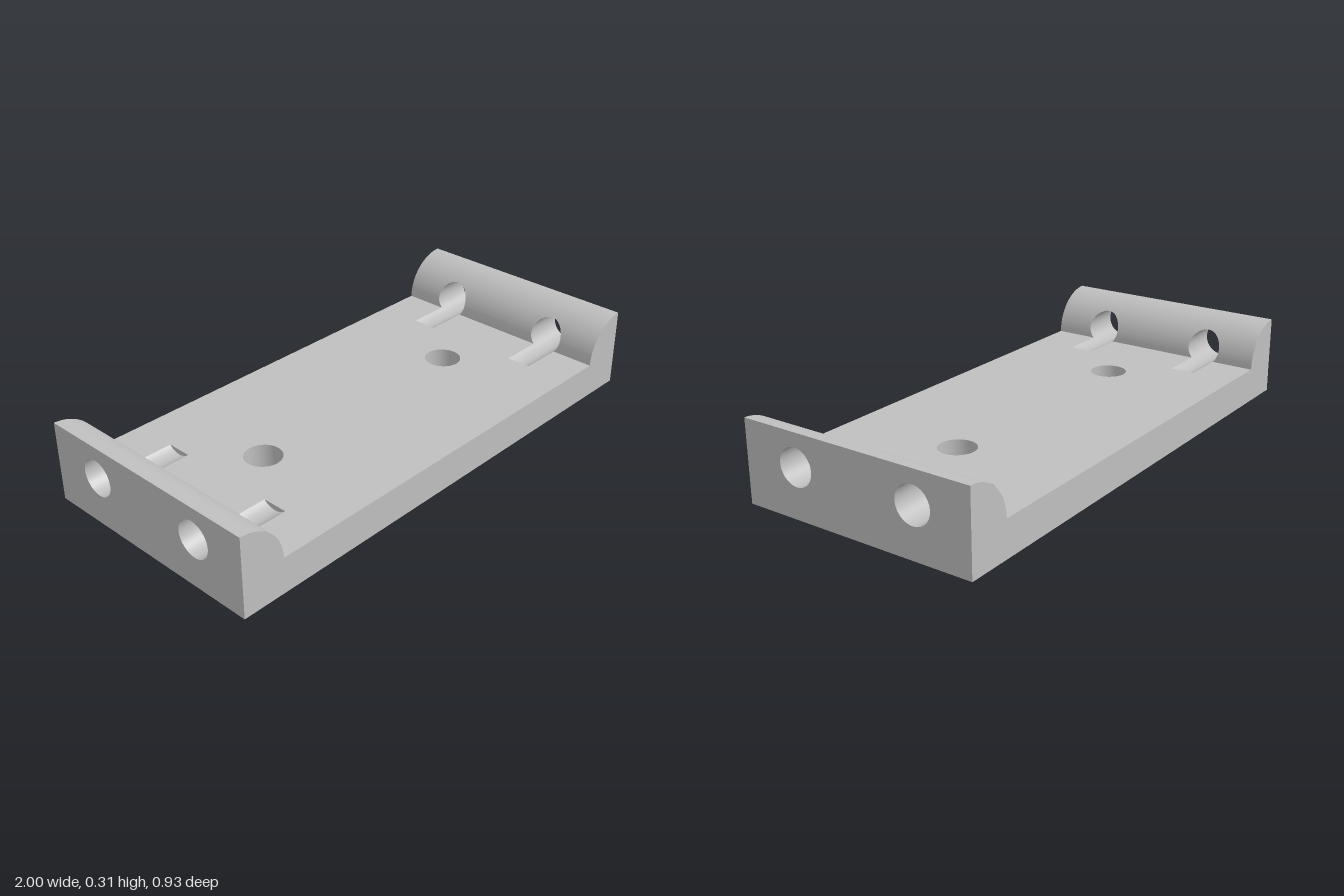
import * as THREE from 'three';

const D = 0.463;                       // half depth
const T = 0.137;                       // plate thickness
const Q = 0.17;                        // quarter-round radius
const R = 0.069, YC = 0.186, ZC = 0.242; // end bores
const SLOT_X = 0.66;                   // inner end of the bore grooves
const S = Math.sqrt(R * R - (YC - T) ** 2); // half width of groove at deck level
const A1 = Math.asin((T - YC) / R);    // angle where a bore meets the deck
const HOLE_X = 0.485, HOLE_R = 0.07;   // mounting holes

const lerp = THREE.MathUtils.lerp;
// inner face of the quarter round at height y
const roundX = (y) => 1 - Math.sqrt(Math.max(0, Q * Q - (y - T) ** 2));

export function createModel() {
  const group = new THREE.Group();
  const grey = new THREE.MeshStandardMaterial({ color: 0xbfbfbf });
  grey.name = 'grey';

  const add = (parent, name, geometry) => {
    const mesh = new THREE.Mesh(geometry, grey);
    mesh.name = name;
    parent.add(mesh);
    return mesh;
  };

  // smooth sheet through the points f(u, j / nv), one row for each u
  const sheet = (us, nv, f) => {
    const pos = [], idx = [], w = nv + 1;
    us.forEach((u, i) => {
      for (let j = 0; j <= nv; j++) {
        pos.push(...f(u, j / nv));
        if (i < us.length - 1 && j < nv) {
          const a = i * w + j, b = a + w;
          idx.push(a, b, a + 1, b, b + 1, a + 1);
        }
      }
    });
    const g = new THREE.BufferGeometry();
    g.setAttribute('position', new THREE.Float32BufferAttribute(pos, 3));
    g.setIndex(idx);
    g.computeVertexNormals();
    return g;
  };
  const range = (a, b, n) => Array.from({ length: n + 1 }, (_, i) => lerp(a, b, i / n));
  const polygon = (pts) => new THREE.Shape(pts.map(([x, y]) => new THREE.Vector2(x, y)));
  const punch = (shape, x, y, r) => shape.holes.push(new THREE.Path().absarc(x, y, r, 0, Math.PI * 2, true));
  const flat = (shape) => new THREE.ShapeGeometry(shape, 32);

  // deck, notched where the bores run into it
  const edge = 1 - Q;
  const rightEdge = [[edge, -D]];
  for (const z of [-ZC, ZC]) {
    rightEdge.push([edge, z - S], [SLOT_X, z - S], [SLOT_X, z + S], [edge, z + S]);
  }
  rightEdge.push([edge, D]);
  const deck = polygon([...rightEdge, ...rightEdge.map(([x, z]) => [-x, -z])]);
  const base = polygon([[-1, -D], [1, -D], [1, D], [-1, D]]);
  for (const x of [-HOLE_X, HOLE_X]) {
    punch(deck, x, 0, HOLE_R);
    punch(base, x, 0, HOLE_R);
    add(group, 'mountingHoleWall', sheet(range(0, Math.PI * 2, 64), 1,
      (a, v) => [x + HOLE_R * Math.cos(a), v * T, HOLE_R * Math.sin(a)]));
  }
  add(group, 'deckTop', flat(deck).rotateX(-Math.PI / 2).translate(0, T, 0));
  add(group, 'plateBottom', flat(base).rotateX(Math.PI / 2));

  // long sides, with the quarter-round end profile
  const side = new THREE.Shape();
  side.moveTo(-1, 0);
  side.lineTo(1, 0);
  side.lineTo(1, T + Q);
  side.absarc(1, T, Q, Math.PI / 2, Math.PI, false);
  side.lineTo(-edge, T);
  side.absarc(-1, T, Q, 0, Math.PI / 2, false);
  add(group, 'frontSide', flat(side).translate(0, 0, D));
  add(group, 'backSide', flat(side).rotateY(Math.PI).translate(0, 0, -D));

  // samples across the depth, dense at the bores
  const across = (z) => range(Math.PI, 0, 48).map((a) => z + R * Math.cos(a));
  const boreHalf = (z) => Math.sqrt(Math.max(0, R * R - (Math.abs(z) - ZC) ** 2));
  const onRound = (z, y0, y1, v) => {
    const t0 = Math.asin(Math.min(1, (y0 - T) / Q)), t1 = Math.asin(Math.min(1, (y1 - T) / Q));
    const t = lerp(t0, t1, v);
    return [1 - Q * Math.cos(t), T + Q * Math.sin(t), z];
  };
  const flank = range(Math.acos(S / R), 0, 12).map((a) => R * Math.cos(a)); // S .. R
  const down = [...flank].reverse();
  const lowerBands = [
    [-D, ...down.map((d) => -ZC - d)],
    [...flank.map((d) => -ZC + d), ...down.map((d) => ZC - d)],
    [...flank.map((d) => ZC + d), D],
  ];

  // both raised ends; the second is the first turned half round
  for (const [name, turn] of [['leftEnd', 0], ['rightEnd', Math.PI]]) {
    const end = new THREE.Group();
    end.name = name;
    end.rotation.y = turn;
    group.add(end);

    const face = polygon([[-D, 0], [D, 0], [D, T + Q], [-D, T + Q]]);
    for (const z of [-ZC, ZC]) punch(face, z, YC, R);
    add(end, 'endFace', flat(face).rotateY(Math.PI / 2).translate(1, 0, 0));

    // quarter round above and below the bore centre line
    add(end, 'upperRound', sheet([-D, ...across(-ZC), ...across(ZC), D], 20,
      (z, v) => onRound(z, YC + boreHalf(z), T + Q, v)));
    for (const band of lowerBands) {
      add(end, 'lowerRound', sheet(band, 8,
        (z, v) => onRound(z, T, Math.max(T, YC - boreHalf(z)), v)));
    }

    // bores: the upper arc stops at the round, the lower arc runs on as a groove
    for (const z of [-ZC, ZC]) {
      const wall = (inner) => (a, v) => {
        const y = YC + R * Math.sin(a);
        return [lerp(inner(y), 1, v), y, z + R * Math.cos(a)];
      };
      add(end, 'boreWall', sheet(range(A1, Math.PI - A1, 48), 1, wall(roundX)));
      add(end, 'grooveFloor', sheet(range(Math.PI - A1, Math.PI * 2 + A1, 24), 1, wall(() => SLOT_X)));
      const stop = new THREE.Shape().absarc(z, YC, R, Math.PI - A1, Math.PI * 2 + A1, false);
      add(end, 'grooveEnd', flat(stop).rotateY(Math.PI / 2).translate(SLOT_X, 0, 0));
    }
  }
  return group;
}
